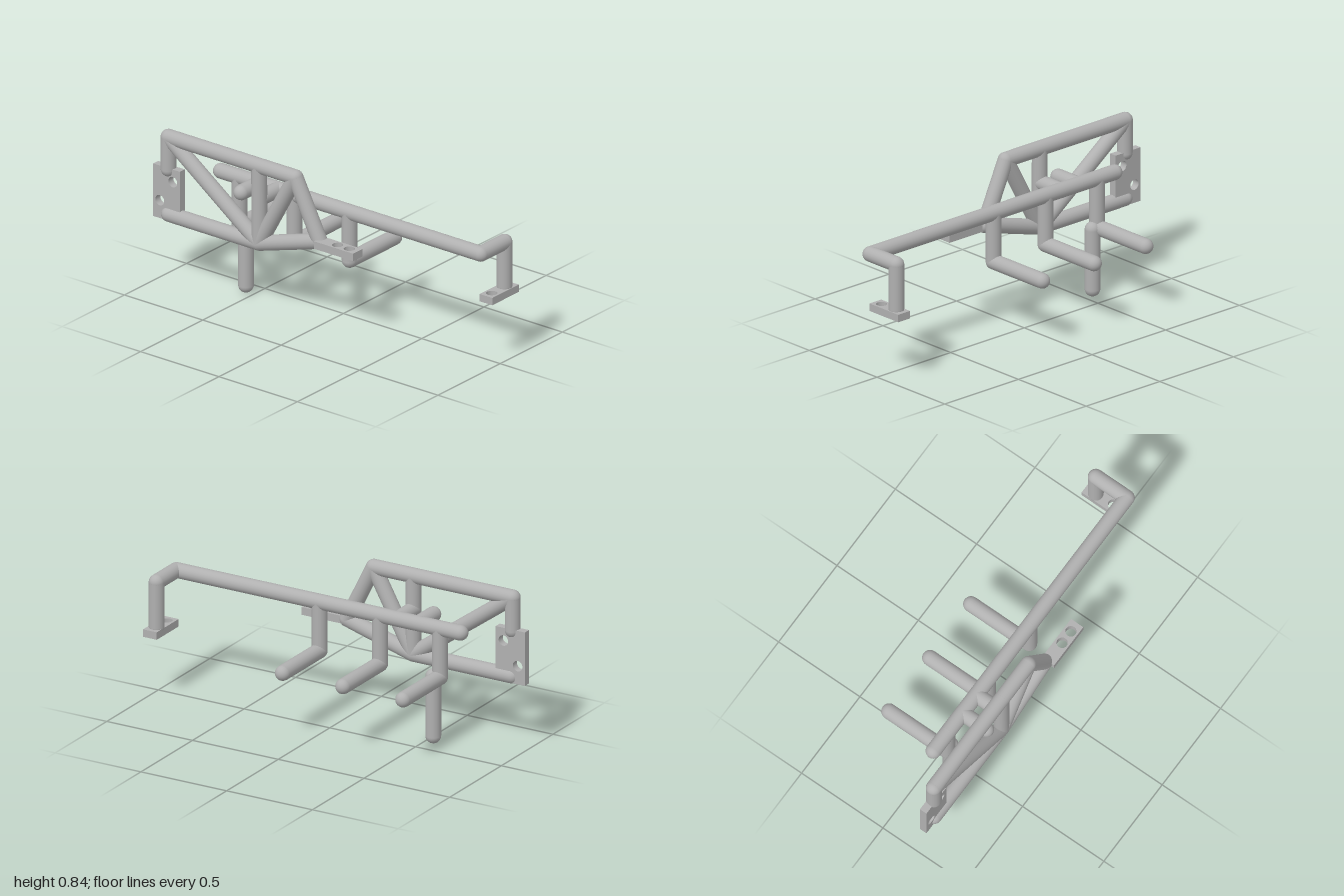
import * as THREE from 'three';

const R = 0.04; // tube radius

export function createModel() {
  const model = new THREE.Group();
  const steel = new THREE.MeshStandardMaterial({ color: 0xb0b0b0 });
  steel.name = 'grey steel';

  // Round-ended tube between two points
  function tube(name, a, b) {
    const start = new THREE.Vector3(...a);
    const dir = new THREE.Vector3(...b).sub(start);
    const mesh = new THREE.Mesh(new THREE.CapsuleGeometry(R, dir.length(), 6, 20), steel);
    mesh.name = name;
    mesh.position.copy(start).addScaledVector(dir, 0.5);
    mesh.quaternion.setFromUnitVectors(new THREE.Vector3(0, 1, 0), dir.normalize());
    model.add(mesh);
  }

  // Chain of tubes through a list of points
  function bentTube(name, points) {
    for (let i = 1; i < points.length; i++) tube(name + i, points[i - 1], points[i]);
  }

  // Rectangular plate with round holes, extruded along its local z
  function plate(name, w, h, depth, holes) {
    const s = new THREE.Shape();
    s.moveTo(-w / 2, -h / 2);
    s.lineTo(w / 2, -h / 2);
    s.lineTo(w / 2, h / 2);
    s.lineTo(-w / 2, h / 2);
    s.closePath();
    for (const [x, y] of holes) {
      s.holes.push(new THREE.Path().absarc(x, y, 0.028, 0, Math.PI * 2, true));
    }
    const geo = new THREE.ExtrudeGeometry(s, { depth, bevelEnabled: false, curveSegments: 20 });
    geo.translate(0, 0, -depth / 2);
    const mesh = new THREE.Mesh(geo, steel);
    mesh.name = name;
    model.add(mesh);
    return mesh;
  }

  // Long rail, bent back and down to its foot
  bentTube('mainRail', [
    [-0.703, 0.623, 0.098], [0.954, 0.623, 0.098], [0.954, 0.623, -0.093], [0.954, 0.385, -0.093],
  ]);

  // Three hooks hanging from the rail and pointing back
  for (const x of [-0.584, -0.234, 0.118]) {
    bentTube('hook', [[x, 0.623, 0.098], [x, 0.361, 0.098], [x, 0.361, -0.26]]);
  }

  // Lower post
  tube('lowerPost', [-0.548, 0.36, 0.092], [-0.548, 0.042, 0.092]);

  // Spacers from rail to truss
  for (const x of [-0.456, -0.337]) tube('spacer', [x, 0.623, 0.098], [x, 0.623, 0.245]);

  // Truss frame and its braces
  const z = 0.252;
  const topLeft = [-0.915, 0.804, z];
  const topRight = [-0.105, 0.804, z];
  const tip = [0.045, 0.495, 0.246];
  const node = [-0.335, 0.383, z];
  bentTube('trussFrame', [[-0.915, 0.63, z], topLeft, topRight, tip, node, [-0.912, 0.383, z]]);
  tube('longBrace', topLeft, node);
  tube('uprightBrace', [-0.337, 0.804, z], node);
  tube('shortBrace', topRight, node);

  // Mounting plates
  plate('sidePlate', 0.17, 0.287, 0.04, [[0.04, 0.075], [-0.043, -0.046]])
    .position.set(-0.915, 0.497, 0.248);

  const tab = plate('tipPlate', 0.25, 0.075, 0.041, [[-0.004, 0], [0.071, 0]]);
  tab.rotation.x = -Math.PI / 2;
  tab.position.set(0.175, 0.493, 0.262);

  const foot = plate('footPlate', 0.08, 0.213, 0.04, [[0, -0.06]]);
  foot.rotation.x = -Math.PI / 2;
  foot.position.set(0.957, 0.36, -0.047);

  return model;
}
